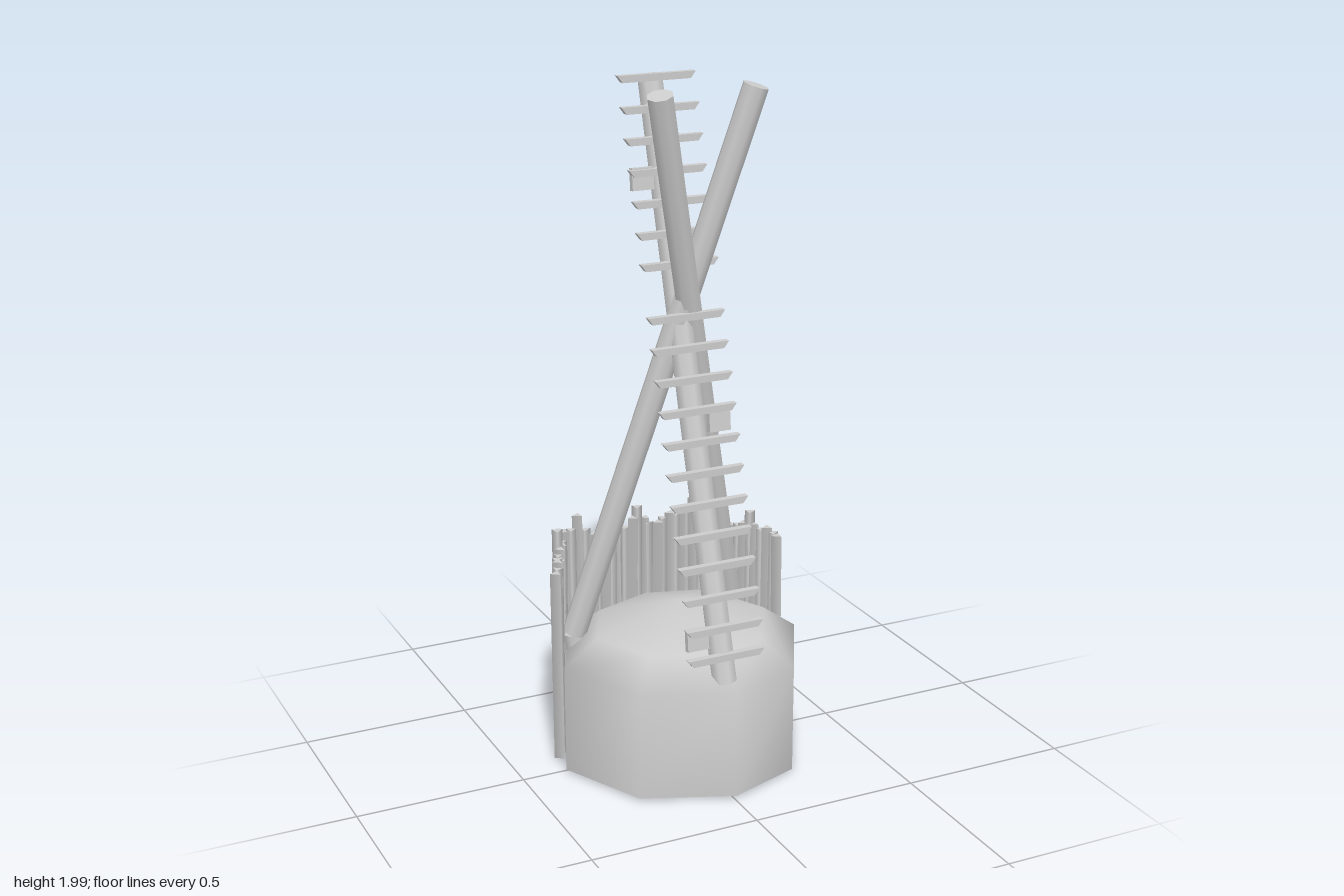
import * as THREE from 'three';

const material = new THREE.MeshStandardMaterial({ color: 0xcccccc, side: THREE.DoubleSide });
const facetMaterial = new THREE.MeshStandardMaterial({ color: 0xcccccc, flatShading: true });
const V = (x, y, z) => new THREE.Vector3(x, y, z);

function add(parent, name, geometry, mat = material) {
  const mesh = new THREE.Mesh(geometry, mat);
  mesh.name = name;
  parent.add(mesh);
  return mesh;
}

// Straight round or polygonal bar between two points
function bar(parent, name, from, to, radius, sides, spin = 0) {
  const dir = to.clone().sub(from);
  const geometry = new THREE.CylinderGeometry(radius, radius, dir.length(), sides);
  geometry.rotateY(spin);
  const mesh = add(parent, name, geometry);
  mesh.position.copy(from).add(to).multiplyScalar(0.5);
  mesh.quaternion.setFromUnitVectors(V(0, 1, 0), dir.normalize());
  return mesh;
}

// Irregular eight-sided earth mound with a low domed top
function mound(parent) {
  const outline = [
    [0.375, 0.015], [0.225, 0.29], [0.005, 0.365], [-0.25, 0.26],
    [-0.37, 0.01], [-0.25, -0.245], [0, -0.33], [0.24, -0.26],
  ];
  const rings = [[1, 0.015], [1, 0.335], [0.72, 0.41]];
  const n = outline.length;
  const pos = [];
  const index = [];
  for (const [s, y] of rings) for (const [x, z] of outline) pos.push(x * s, y, z * s);
  pos.push(0.01, 0.48, 0);
  const apex = n * rings.length;
  for (let i = 0; i < n; i++) {
    const j = (i + 1) % n;
    for (let r = 0; r < rings.length - 1; r++) {
      const a = r * n + i, b = r * n + j;
      index.push(a, a + n, b, b, a + n, b + n);
    }
    index.push(apex - n + i, apex, apex - n + j);
  }
  const geometry = new THREE.BufferGeometry();
  geometry.setAttribute('position', new THREE.Float32BufferAttribute(pos, 3));
  geometry.setIndex(index);
  geometry.computeVertexNormals();
  add(parent, 'mound', geometry);

  const shape = new THREE.Shape(outline.map(([x, z]) => new THREE.Vector2(x, z)));
  const base = new THREE.ShapeGeometry(shape).rotateX(Math.PI / 2);
  add(parent, 'moundBase', base).position.y = 0.015;
}

// Three crossing logs, each bending inward where it enters the mound
function poles(parent) {
  const paths = {
    ladderPole: [V(-0.005, 1.985, -0.182), V(-0.005, 0.345, 0.305), V(-0.005, 0.012, 0.26)],
    rightBackPole: [V(-0.13, 1.985, 0.155), V(0.255, 0.38, -0.185), V(0.22, 0.012, -0.14)],
    leftBackPole: [V(0.175, 1.985, 0.11), V(-0.28, 0.38, -0.128), V(-0.23, 0.012, -0.1)],
  };
  for (const [name, [top, knee, foot]] of Object.entries(paths)) {
    bar(parent, name, knee, top, 0.037, 8);
    bar(parent, name + 'Foot', foot, knee, 0.035, 8);
  }
}

// Rungs with bevelled ends climbing the front of the ladder pole
function ladder(parent) {
  const group = new THREE.Group();
  group.name = 'ladder';
  parent.add(group);
  const shape = new THREE.Shape([
    new THREE.Vector2(-0.103, -0.01), new THREE.Vector2(0.103, -0.01),
    new THREE.Vector2(0.118, 0.01), new THREE.Vector2(-0.118, 0.01),
  ]);
  const geometry = new THREE.ExtrudeGeometry(shape, { depth: 0.02, bevelEnabled: false });
  geometry.translate(0, 0, -0.01);
  const lineZ = (y) => 0.28 - 0.3 * (y - 0.6);
  const heights = [];
  for (let i = 0; i < 12; i++) heights.push(0.43 + i * 0.0836);
  for (let i = 0; i < 7; i++) heights.push(1.49 + i * 0.0825);
  for (const y of heights) add(group, 'rung', geometry, facetMaterial).position.set(-0.008, y, Math.min(lineZ(y), 0.315));

  // Small blocks wedged beside the pole
  for (const [x, y, z] of [[-0.082, 0.485, 0.285], [0.063, 1.06, 0.122], [-0.082, 1.72, -0.068]]) {
    const block = add(group, 'block', new THREE.BoxGeometry(0.065, 0.062, 0.018), facetMaterial);
    block.position.set(x, y, z);
    block.rotation.x = -0.1;
  }
}

// Palisade of slightly leaning three-sided stakes around the back
function palisade(parent) {
  const group = new THREE.Group();
  group.name = 'palisade';
  parent.add(group);
  let seed = 7;
  const rand = () => (seed = (seed * 16807) % 2147483647) / 2147483647;
  const corners = [V(0.362, 0, -0.06), V(0.195, 0, -0.338), V(-0.23, 0, -0.34), V(-0.36, 0, -0.06)];
  const counts = [15, 20, 14];
  let k = 0;
  counts.forEach((count, run) => {
    for (let i = 0; i < count; i++, k++) {
      const foot = corners[run].clone().lerp(corners[run + 1], (i + 0.3) / count);
      foot.y = 0.013;
      const top = foot.clone();
      top.x += (rand() - 0.5) * 0.014;
      top.z += (rand() - 0.5) * 0.014;
      top.y = k % 9 === 5 ? 0.65 + rand() * 0.02 : 0.59 + rand() * 0.035;
      bar(group, 'stake', foot, top, 0.018, 3, (k % 2 ? 1 : -1) * Math.PI / 2 + (rand() - 0.5) * 0.4);
    }
  });
}

export function createModel() {
  const model = new THREE.Group();
  model.name = 'ladderMound';
  mound(model);
  poles(model);
  ladder(model);
  palisade(model);
  return model;
}
